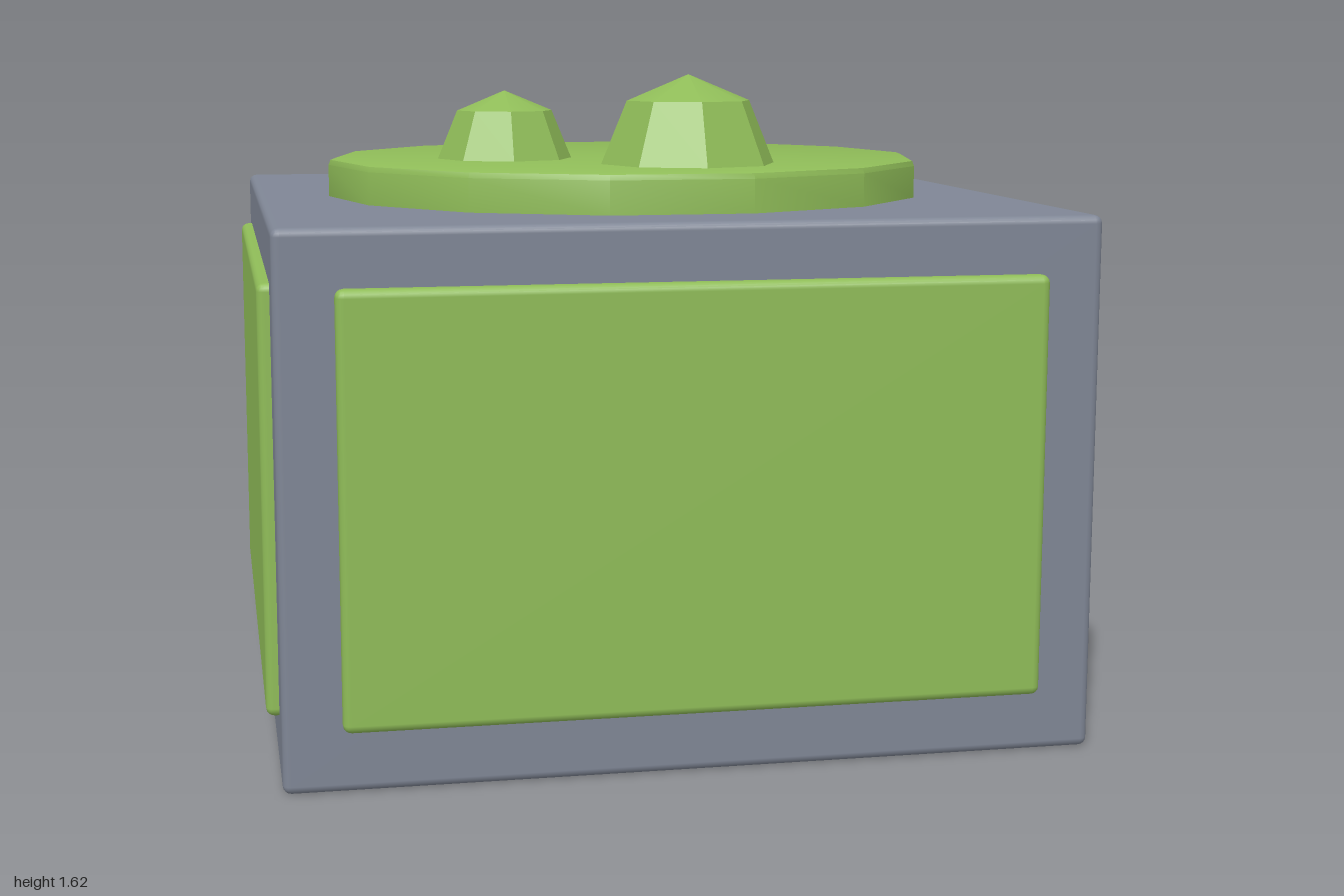
import * as THREE from 'three';
import { toCreasedNormals } from 'three/addons/utils/BufferGeometryUtils.js';
import { RoundedBoxGeometry } from 'three/addons/geometries/RoundedBoxGeometry.js';

export function createModel() {
  const model = new THREE.Group();
  model.name = 'planterBlock';

  const stone = new THREE.MeshStandardMaterial({ color: 0x7f8695 });
  stone.name = 'slate grey';
  const green = new THREE.MeshStandardMaterial({ color: 0x8fbc58 });
  green.name = 'leaf green';

  const add = (name, geometry, material, x, y, z) => {
    const mesh = new THREE.Mesh(geometry, material);
    mesh.name = name;
    mesh.position.set(x, y, z);
    model.add(mesh);
    return mesh;
  };

  // Solid block with softened edges
  add('block', new RoundedBoxGeometry(1.94, 1.295, 1.94, 2, 0.02), stone, 0, 0.6475, 0);

  // One raised panel on each of the four sides
  const panel = new RoundedBoxGeometry(1.665, 1.015, 0.1, 2, 0.02);
  ['frontPanel', 'leftPanel', 'backPanel', 'rightPanel'].forEach((name, i) => {
    const a = (i * Math.PI) / 2;
    add(name, panel, green, Math.sin(a) * 0.95, 0.652, Math.cos(a) * 0.95).rotation.y = a;
  });

  // Fourteen-sided disc with a bevelled rim
  const profile = [[0, 0], [0.785, 0], [0.785, 0.082], [0.78, 0.095], [0.767, 0.1], [0, 0.1]]
    .map(([r, y]) => new THREE.Vector2(r, y));
  const disc = new THREE.LatheGeometry(profile, 14, Math.PI / 2);
  add('topDisc', toCreasedNormals(disc, Math.PI / 6), green, 0, 1.295, 0);

  // Faceted domes resting on the disc: x, z, radius
  [[0.09, 0.41, 0.222], [-0.33, 0.085, 0.176], [0.23, -0.19, 0.128]].forEach(([x, z, r], i) => {
    const dome = new THREE.SphereGeometry(r, 8, 2, 0, Math.PI * 2, 0, Math.PI / 2);
    add(`dome${i + 1}`, toCreasedNormals(dome, Math.PI / 6), green, x, 1.395, z);
  });

  return model;
}
